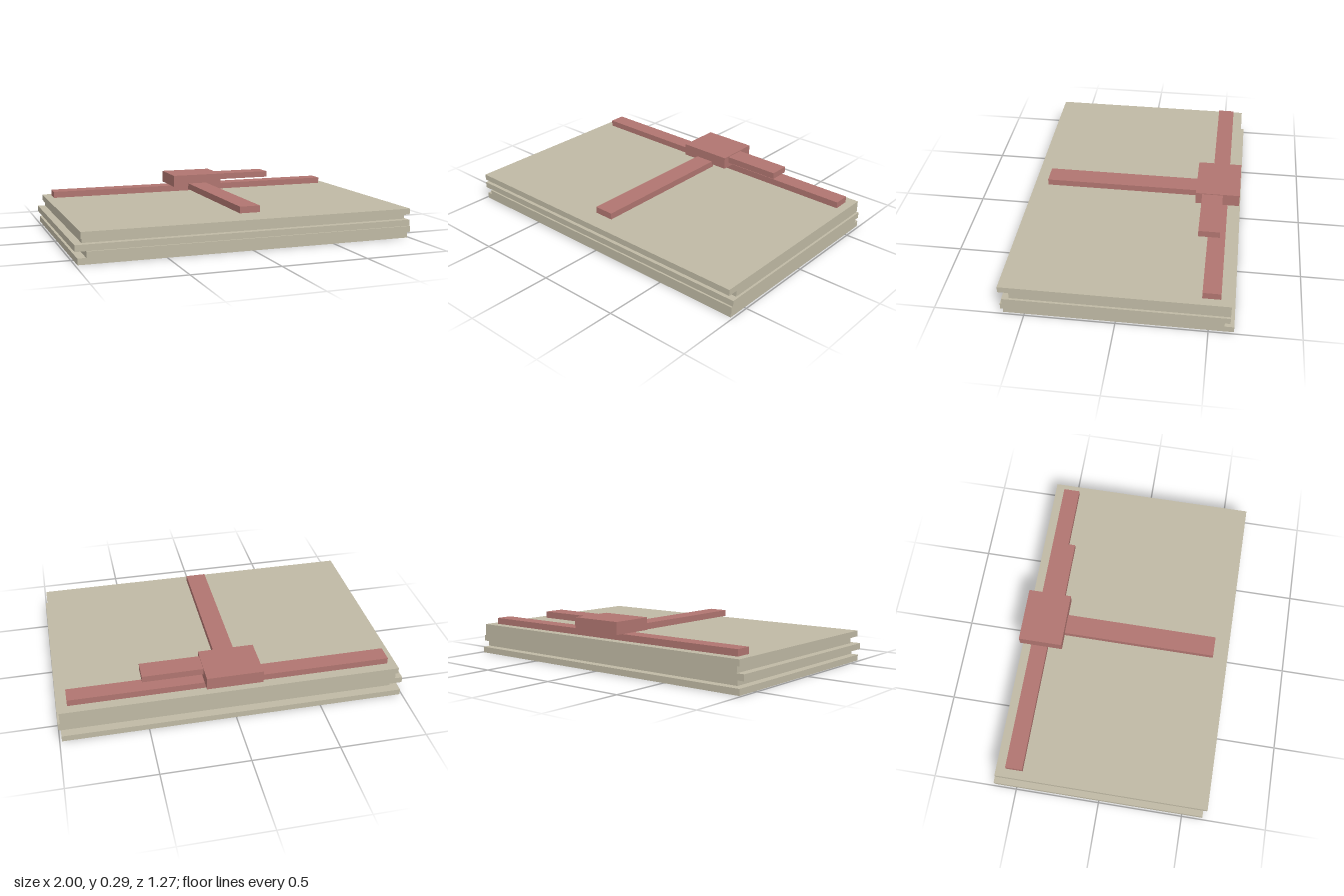
import * as THREE from 'three';

export function createModel() {
  const model = new THREE.Group();
  model.name = 'stackedSlabs';

  const stone = new THREE.MeshStandardMaterial({ color: 0xbfb9a4 });
  stone.name = 'pale stone';
  const red = new THREE.MeshStandardMaterial({ color: 0xb07570 });
  red.name = 'dusty red';

  // Box given by its extents along each axis
  function block(name, material, [x0, x1], [y0, y1], [z0, z1], parent = model) {
    const mesh = new THREE.Mesh(new THREE.BoxGeometry(x1 - x0, y1 - y0, z1 - z0), material);
    mesh.position.set((x0 + x1) / 2, (y0 + y1) / 2, (z0 + z1) / 2);
    mesh.name = name;
    parent.add(mesh);
  }

  // Five unevenly stacked slabs, bottom to top: x extent, z extent
  const slabs = new THREE.Group();
  slabs.name = 'slabs';
  model.add(slabs);
  const thickness = 0.0358;
  [
    [[-0.987, 0.987], [-0.637, 0.617]],
    [[-0.94, 0.998], [-0.585, 0.628]],
    [[-1, 1], [-0.615, 0.617]],
    [[-0.955, 0.987], [-0.615, 0.577]],
    [[-0.97, 0.987], [-0.615, 0.637]],
  ].forEach(([x, z], i) =>
    block(`slab${i + 1}`, stone, x, [i * thickness, (i + 1) * thickness], z, slabs));

  // Ribbon bands, knot and loose end
  block('crossBand', red, [-0.92, 0.937], [0.179, 0.217], [-0.557, -0.457]);
  block('lengthBand', red, [-0.055, 0.065], [0.201, 0.239], [-0.38, 0.546]);
  block('knot', red, [-0.155, 0.168], [0.221, 0.294], [-0.625, -0.366]);
  block('looseEnd', red, [0.1, 0.515], [0.251, 0.289], [-0.526, -0.404]);

  return model;
}
